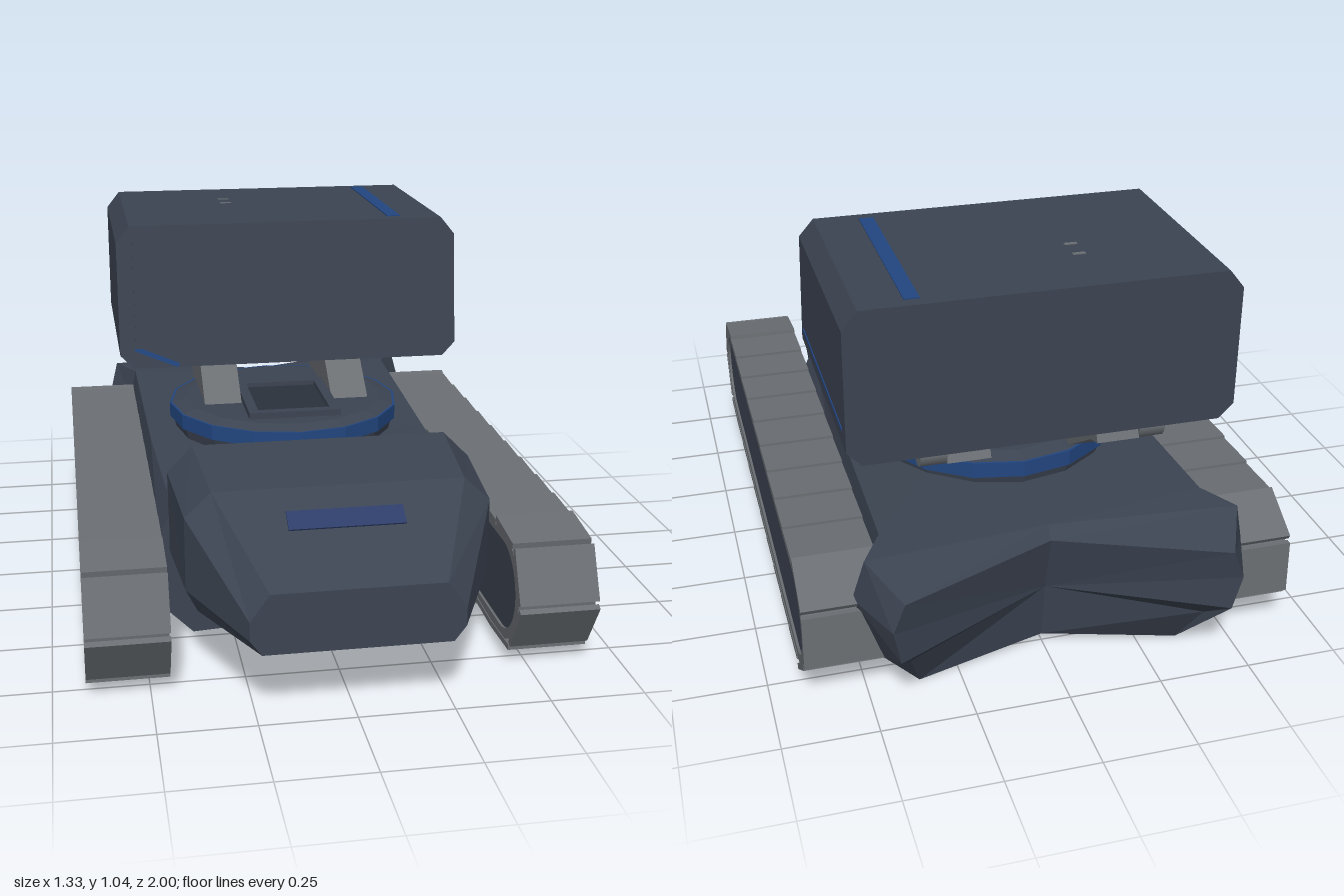
import * as THREE from 'three';

const mat = (name, color) => Object.assign(new THREE.MeshStandardMaterial({ color }), { name });

export function createModel() {
  const model = new THREE.Group();
  model.name = 'trackedVehicle';
  const slate = mat('slate armour', 0x3c4452);
  const grey = mat('track grey', 0x6a6e72);
  const blue = mat('blue trim', 0x224680);
  const navy = mat('navy visor', 0x2e3d68);
  const dark = mat('dark recess', 0x2b313c);

  const flat = (g) => {
    const f = g.index ? g.toNonIndexed() : g;
    f.computeVertexNormals();
    return f;
  };
  const add = (name, geo, material, pos = [0, 0, 0], parent = model) => {
    const m = new THREE.Mesh(geo, material);
    m.name = name;
    m.position.set(...pos);
    parent.add(m);
    return m;
  };
  const box = (w, h, d) => new THREE.BoxGeometry(w, h, d);

  // Skin mirrored half sections (bottom to top on +x), listed front to back
  const loft = (halves) => {
    const rings = halves.map((h) => [
      ...h, ...h.filter((p) => p[0] !== 0).reverse().map(([x, y, z]) => [-x, y, z]),
    ]);
    const n = rings[0].length, last = (rings.length - 1) * n, idx = [];
    for (let i = 0; i < rings.length - 1; i++) {
      for (let j = 0; j < n; j++) {
        const a = i * n + j, b = i * n + (j + 1) % n;
        idx.push(a, a + n, b, b, a + n, b + n);
      }
    }
    for (let j = 1; j < n - 1; j++) idx.push(0, j, j + 1, last, last + j + 1, last + j);
    const g = new THREE.BufferGeometry();
    g.setAttribute('position', new THREE.Float32BufferAttribute(rings.flat(2), 3));
    g.setIndex(idx);
    return flat(g);
  };
  const at = (z, pts) => pts.map(([x, y]) => [x, y, z]);

  // Extrude a (z, y) side profile to a width centred on x = 0
  const sideExtrude = (shape, width) => flat(
    new THREE.ExtrudeGeometry(shape, { depth: width, bevelEnabled: false, curveSegments: 14 })
      .translate(0, 0, -width / 2).rotateY(-Math.PI / 2));

  // Hull with flared, notched tail
  add('hull', loft([
    at(0.47, [[0, 0.03], [0.36, 0.01], [0.44, 0.09], [0.45, 0.30], [0.41, 0.38], [0, 0.385]]),
    at(-0.1, [[0, 0.03], [0.36, 0.01], [0.44, 0.09], [0.45, 0.30], [0.43, 0.39], [0, 0.39]]),
    at(-0.74, [[0, 0.03], [0.38, 0.01], [0.44, 0.10], [0.46, 0.32], [0.44, 0.42], [0, 0.40]]),
    [[0, 0.03, -0.75], [0.36, 0.01, -0.83], [0.46, 0.12, -0.85], [0.53, 0.30, -0.83], [0.50, 0.42, -0.85], [0, 0.40, -0.78]],
    [[0, 0.20, -0.77], [0.40, 0.14, -0.91], [0.44, 0.20, -0.99], [0.46, 0.30, -1.0], [0.43, 0.38, -1.0], [0, 0.37, -0.81]],
  ]), slate);

  // Faceted front cab with sloping back
  add('cab', loft([
    at(1.0, [[0.24, 0.20], [0.27, 0.24], [0.27, 0.29], [0.22, 0.36], [0, 0.36]]),
    at(0.73, [[0.37, 0.20], [0.40, 0.26], [0.40, 0.46], [0.33, 0.525], [0, 0.525]]),
    [[0.40, 0.20, 0.47], [0.42, 0.26, 0.47], [0.42, 0.48, 0.45], [0.35, 0.55, 0.44], [0, 0.55, 0.44]],
    [[0.40, 0.20, 0.42], [0.41, 0.26, 0.42], [0.41, 0.38, 0.41], [0.26, 0.39, 0.42], [0, 0.39, 0.36]],
  ]), slate);
  add('visor', box(0.3, 0.058, 0.008), navy, [0, 0.471, 0.82]).rotation.x = -1.022;

  // Tracks: stadium core, belt ring and shingled tread plates
  const stadium = (r, Type = THREE.Shape) => {
    const s = new Type();
    s.absarc(0.7, 0.205, r, -Math.PI / 2, Math.PI / 2);
    s.absarc(-0.7, 0.205, r, Math.PI / 2, Math.PI * 1.5);
    s.closePath();
    return s;
  };
  const beltShape = stadium(0.15);
  beltShape.holes.push(stadium(0.122, THREE.Path));
  const beltGeo = sideExtrude(beltShape, 0.21);
  const coreGeo = sideExtrude(stadium(0.123), 0.196);
  const treadGeo = box(0.215, 0.016, 0.15);
  const R = 0.152, straight = 1.4, arc = Math.PI * R, total = 2 * (straight + arc), count = 25;
  const loop = (s) => {
    if (s < straight) return [s - 0.7, R, 0];
    s -= straight;
    if (s < arc) return [0.7 + R * Math.sin(s / R), R * Math.cos(s / R), s / R];
    s -= arc;
    if (s < straight) return [0.7 - s, -R, Math.PI];
    const a = Math.PI + (s - straight) / R;
    return [-0.7 + R * Math.sin(a), R * Math.cos(a), a];
  };
  for (const side of [1, -1]) {
    const track = new THREE.Group();
    track.name = side > 0 ? 'leftTrack' : 'rightTrack';
    track.position.x = side * 0.557;
    model.add(track);
    add('trackCore', coreGeo, slate, [0, 0, 0], track);
    add('trackBelt', beltGeo, grey, [0, 0, 0], track);
    for (let i = 0; i < count; i++) {
      const [z, y, a] = loop((i + 0.4) * total / count);
      add('treadPlate', treadGeo, grey, [0, 0.205 + y, z], track).rotation.x = a + 0.05;
    }
  }

  // Turret ring with open square frame
  const disc = (r1, r2, h) => flat(new THREE.CylinderGeometry(r1, r2, h, 16));
  add('turretBase', disc(0.35, 0.34, 0.04), slate, [0, 0.405, -0.21]);
  add('turretRing', disc(0.36, 0.36, 0.045), blue, [0, 0.447, -0.21]);
  add('turretTop', disc(0.31, 0.355, 0.012), slate, [0, 0.475, -0.21]);
  add('frameWell', box(0.24, 0.006, 0.3), dark, [0, 0.483, -0.13]);
  for (const s of [1, -1]) {
    add('frameSide', box(0.03, 0.022, 0.34), slate, [s * 0.125, 0.489, -0.13]);
    add('frameEnd', box(0.28, 0.022, 0.03), slate, [0, 0.489, -0.13 + s * 0.155]);
  }

  // Lift arms and hinge
  const armShape = new THREE.Shape([
    [-0.12, 0.475], [-0.44, 0.45], [-0.49, 0.455], [-0.69, 0.585], [-0.74, 0.60], [-0.72, 0.64], [-0.27, 0.59],
  ].map((p) => new THREE.Vector2(...p)));
  const armGeo = sideExtrude(armShape, 0.115);
  const rod = (r, len) => new THREE.CylinderGeometry(r, r, len, 14).rotateZ(Math.PI / 2);
  add('hingeRod', rod(0.02, 0.96), grey, [0, 0.632, -0.7]);
  for (const s of [1, -1]) {
    add('liftArm', armGeo, grey, [s * 0.2, 0, 0]);
    add('hingeKnuckle', rod(0.042, 0.07), grey, [s * 0.292, 0.627, -0.7]);
  }

  // Large chamfered pod with raked front
  const podHalf = [[0.475, 0.63], [0.515, 0.67], [0.515, 1.0], [0.475, 1.05]];
  add('pod', loft([
    podHalf.map(([x, y]) => [x, y, -0.05 - (y - 0.63) * 0.15]),
    at(-0.745, podHalf),
  ]), slate);
  const podFront = new THREE.Group();
  podFront.name = 'podFront';
  podFront.position.set(0, 0.86, -0.0845);
  podFront.rotation.x = -0.149;
  model.add(podFront);
  add('podFrontPanel', box(0.935, 0.345, 0.008), slate, [0, 0, 0], podFront);
  add('podFrontStripe', box(0.14, 0.014, 0.006), blue, [-0.405, -0.2, 0], podFront).rotation.z = -0.4;
  add('podTopStripe', box(0.04, 0.006, 0.56), blue, [0.335, 1.05, -0.43]);
  add('podSideStripe', box(0.006, 0.008, 0.6), blue, [0.515, 0.715, -0.4]);
  for (const z of [-0.54, -0.47]) add('podTopMark', box(0.035, 0.004, 0.012), grey, [-0.145, 1.05, z]);

  return model;
}
